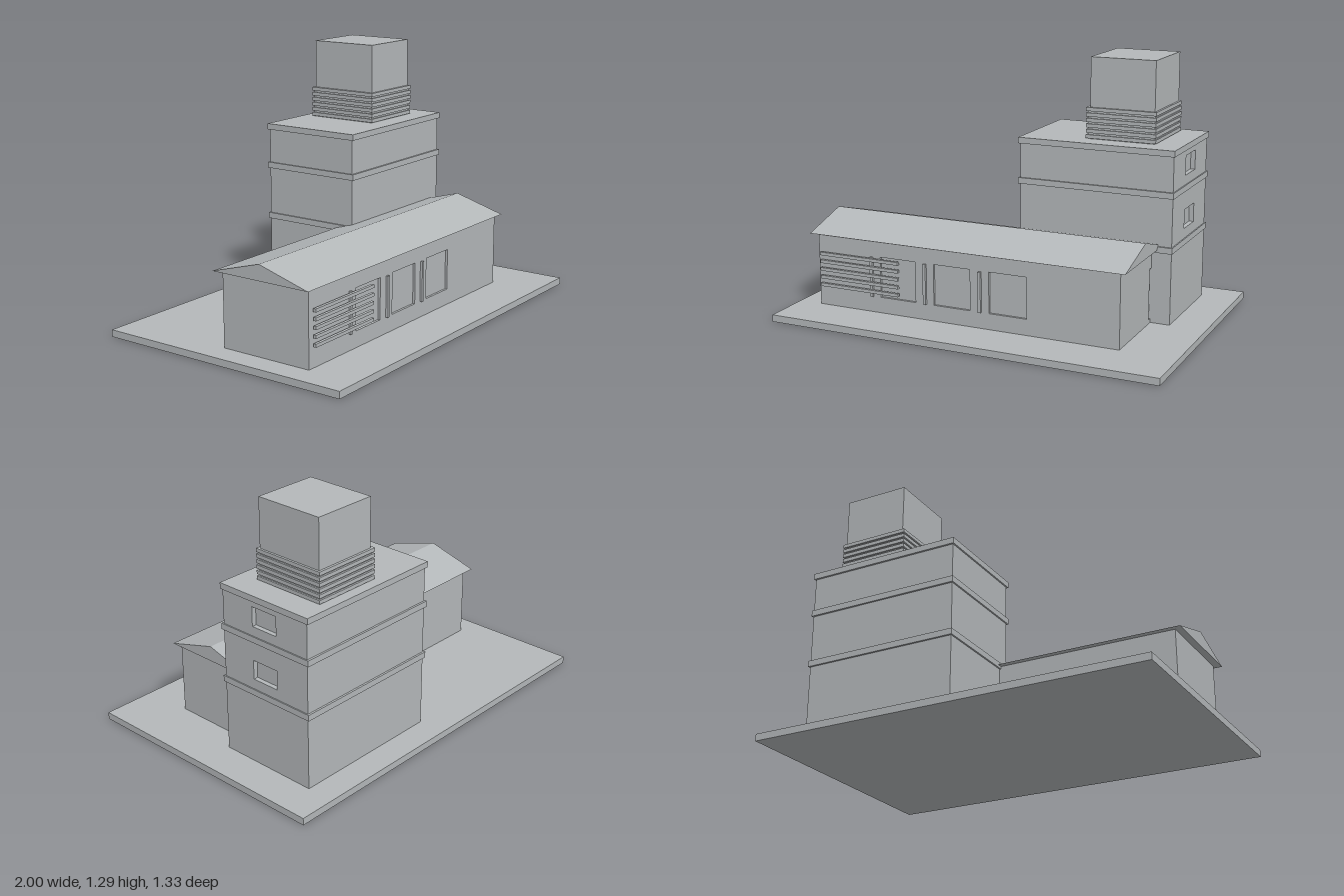
import * as THREE from 'three';

const concrete = new THREE.MeshStandardMaterial({ color: 0xb4b8ba });
concrete.name = 'concrete grey';

function add(parent, name, geometry) {
  const mesh = new THREE.Mesh(geometry, concrete);
  mesh.name = name;
  parent.add(mesh);
  return mesh;
}

// Box given by its limits on each axis
function block(parent, name, [x0, x1], [y0, y1], [z0, z1]) {
  const mesh = add(parent, name, new THREE.BoxGeometry(x1 - x0, y1 - y0, z1 - z0));
  mesh.position.set((x0 + x1) / 2, (y0 + y1) / 2, (z0 + z1) / 2);
  return mesh;
}

function rect(path, [u0, u1], [v0, v1]) {
  return path.moveTo(u0, v0).lineTo(u1, v0).lineTo(u1, v1).lineTo(u0, v1).closePath();
}

// Wall layer with rectangular openings, drawn in the xy plane
function wallSkin(u, v, openings, depth) {
  const shape = rect(new THREE.Shape(), u, v);
  for (const [hu, hv] of openings) shape.holes.push(rect(new THREE.Path(), hu, hv));
  return new THREE.ExtrudeGeometry(shape, { depth, bevelEnabled: false });
}

function createHall() {
  const hall = new THREE.Group();
  hall.name = 'hall';
  const left = -0.88, right = 0.72, front = 0.415, back = -0.07;
  const base = 0.035, eave = 0.405;
  block(hall, 'hallCore', [left, right - 0.03], [base, eave], [back, front - 0.012]);

  // Front wall with three shallow windows, each with a post beside it
  const starts = [-0.53, -0.235, 0.06];
  const windows = starts.map((x) => [[x, x + 0.195], [0.115, 0.32]]);
  add(hall, 'frontWall', wallSkin([left, right - 0.03], [base, eave], windows, 0.012))
    .position.z = front - 0.012;
  for (const x of starts) {
    block(hall, 'windowPost', [x - 0.054, x - 0.039], [0.115, 0.317], [front, 0.427]);
  }

  // Sun screen slats
  for (let i = 0; i < 5; i++) {
    const y = 0.145 + i * 0.04;
    block(hall, 'screenSlat', [-0.86, -0.42], [y - 0.008, y + 0.008], [0.425, 0.44]);
  }

  // End wall with a recessed opening running in behind the tower
  const end = add(hall, 'endWall',
    wallSkin([-front, -back], [base, eave], [[[-0.017, 0.05], [0.055, 0.31]]], 0.03));
  end.rotation.y = Math.PI / 2;
  end.position.x = right - 0.03;

  // Gabled roof
  const gable = new THREE.Shape()
    .moveTo(-0.44, 0.403).lineTo(0.1, 0.403).lineTo(-0.17, 0.48).closePath();
  const roof = add(hall, 'gableRoof',
    new THREE.ExtrudeGeometry(gable, { depth: 1.665, bevelEnabled: false }));
  roof.rotation.y = Math.PI / 2;
  roof.position.x = -0.915;
  return hall;
}

function createTower() {
  const tower = new THREE.Group();
  tower.name = 'tower';
  block(tower, 'towerCore', [0.03, 0.795], [0.035, 0.875], [-0.527, -0.007]);

  // Side wall with two recessed windows
  const windows = [[0.47, 0.565], [0.735, 0.832]].map((v) => [[0.193, 0.34], v]);
  const side = add(tower, 'sideWall', wallSkin([0.007, 0.527], [0.035, 0.875], windows, 0.023));
  side.rotation.y = Math.PI / 2;
  side.position.x = 0.795;

  // Floor bands; the top one is the roof slab
  for (const y of [0.39, 0.658, 0.86]) {
    block(tower, 'floorBand', [0.022, 0.824], [y, y + 0.03], [-0.537, 0.003]);
  }

  // Louvred base of the rooftop box
  block(tower, 'louvreCore', [0.344, 0.686], [0.885, 1.035], [-0.477, -0.109]);
  const slats = 6, pitch = 0.0268;
  for (let i = 0; i < slats; i++) {
    const y = 0.893 + i * pitch;
    block(tower, 'louvreSlat', [0.336, 0.694], [y, y + 0.018], [-0.486, -0.101]);
  }
  block(tower, 'rooftopBox', [0.353, 0.683], [1.02, 1.29], [-0.474, -0.114]);
  return tower;
}

export function createModel() {
  const model = new THREE.Group();
  model.name = 'building';
  block(model, 'groundSlab', [-1, 1], [0, 0.035], [-0.667, 0.667]);
  model.add(createHall(), createTower());
  return model;
}
